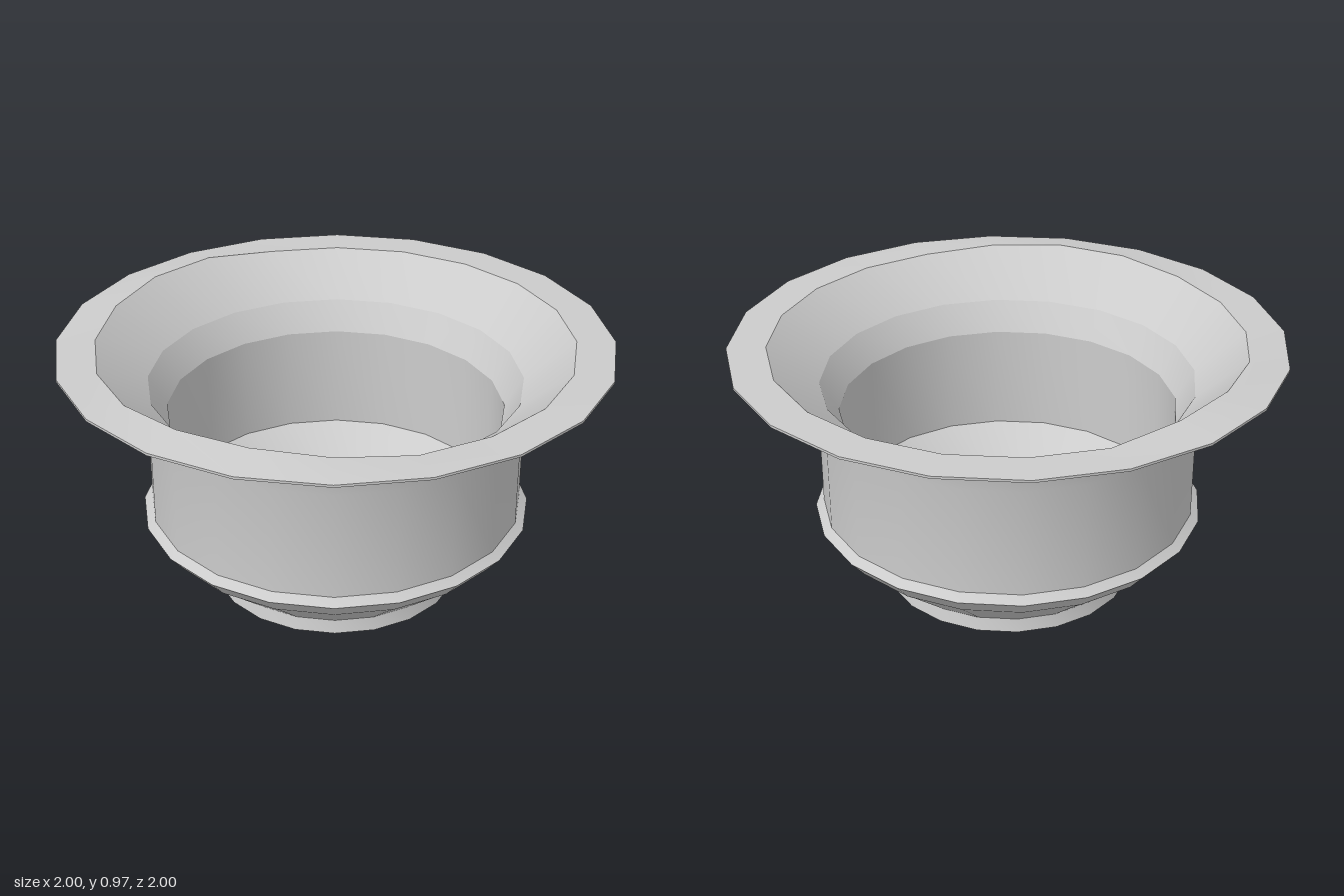
import * as THREE from 'three';
import { toCreasedNormals } from 'three/addons/utils/BufferGeometryUtils.js';

const SIDES = 20;
const START = THREE.MathUtils.degToRad(-3.2);

// Profiles as [radius, height], running from the underside, up the outside and down the inside
const PROFILES = {
  foot: [[0, 0.09], [0.385, 0.09], [0.385, 0], [0.465, 0], [0.455, 0.05]],
  lowerBowl: [[0.455, 0.05], [0.62, 0.19], [0.665, 0.225]],
  collar: [[0.665, 0.225], [0.72, 0.29], [0.69, 0.315]],
  outerWall: [[0.69, 0.315], [0.69, 0.72], [0.705, 0.8]],
  flaredRim: [[0.705, 0.8], [0.9, 0.915], [1, 0.936], [1, 0.945], [0.86, 0.946], [0.68, 0.8]],
  innerWall: [[0.68, 0.8], [0.615, 0.69], [0.61, 0.29]],
  basin: [[0.61, 0.29], [0.45, 0.15], [0, 0.15]],
};

// Gentle hand-made swell of the inner lip, in two places on the right-hand half
function swellLip(geometry) {
  const p = geometry.attributes.position;
  for (let i = 0; i < p.count; i++) {
    const x = p.getX(i), y = p.getY(i), z = p.getZ(i);
    if (y < 0.94 || Math.hypot(x, z) > 0.9) continue;
    const angle = Math.atan2(x, z);
    const lift = [-0.75, -2.7].reduce((s, a) => s + Math.max(0, 1 - Math.abs(angle - a) / 0.7), 0);
    p.setY(i, y + 0.025 * Math.min(1, lift * 1.3));
  }
}

export function createModel() {
  const bowl = new THREE.Group();
  bowl.name = 'flaredBowl';
  const material = new THREE.MeshStandardMaterial({ color: 0xcccccc, side: THREE.DoubleSide });

  for (const [name, profile] of Object.entries(PROFILES)) {
    const points = profile.map(([r, y]) => new THREE.Vector2(r, y));
    const geometry = new THREE.LatheGeometry(points, SIDES, START, Math.PI * 2);
    if (name === 'flaredRim') swellLip(geometry);
    const mesh = new THREE.Mesh(toCreasedNormals(geometry, 0.5), material);
    mesh.name = name;
    bowl.add(mesh);
  }
  return bowl;
}
